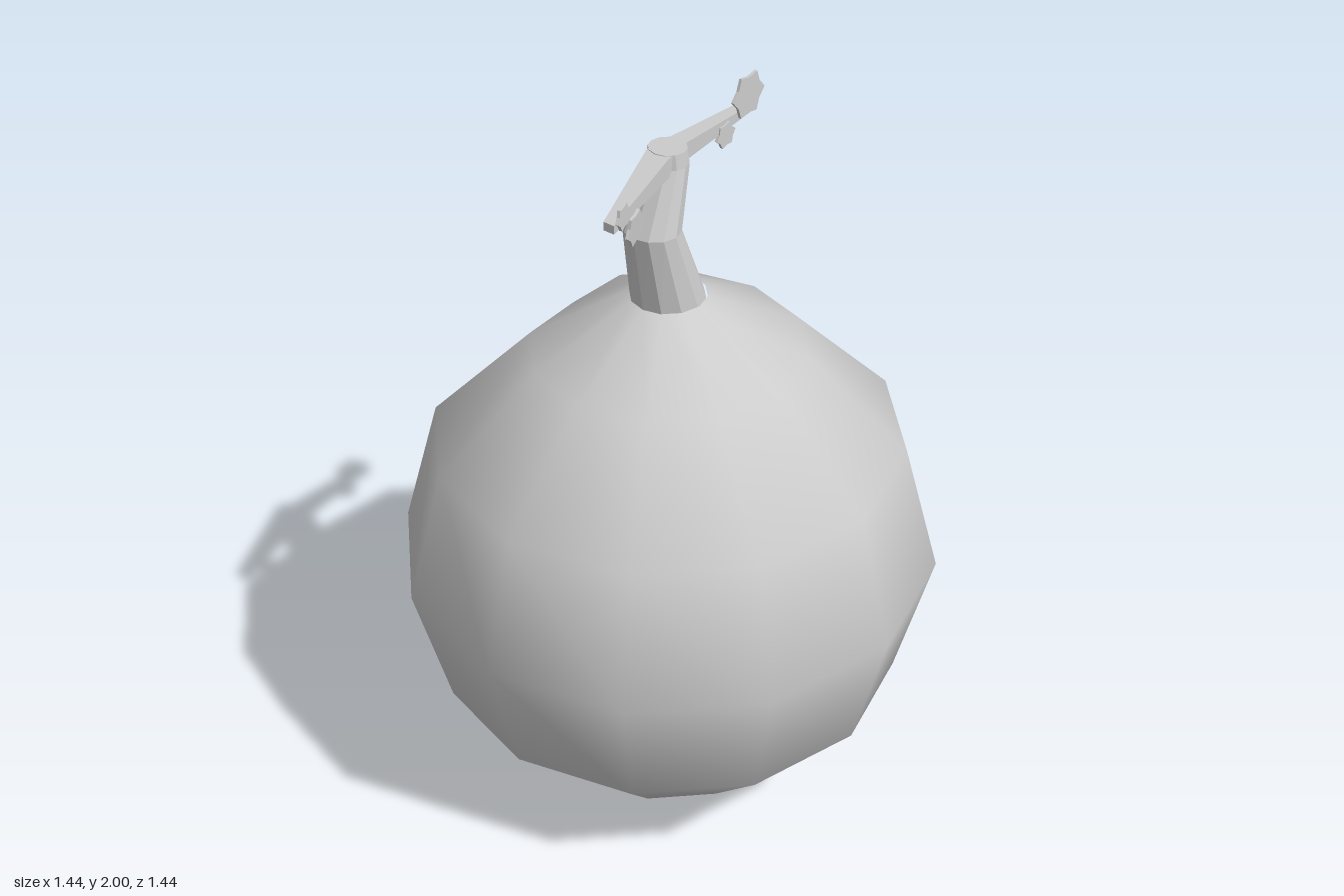
import * as THREE from 'three';
import { mergeVertices } from 'three/addons/utils/BufferGeometryUtils.js';

const grey = new THREE.MeshStandardMaterial({ color: 0xcccccc });
const flat = new THREE.MeshStandardMaterial({ color: 0xcccccc, flatShading: true, side: THREE.DoubleSide });

function addMesh(parent, name, geometry, material) {
  const mesh = new THREE.Mesh(geometry, material);
  mesh.name = name;
  parent.add(mesh);
  return mesh;
}

// Skin a row of equal-sized rings of [x, y, z] points and close both ends
function loft(rings) {
  const n = rings[0].length;
  const index = [];
  for (let r = 0; r < rings.length - 1; r++) {
    for (let i = 0; i < n; i++) {
      const a = r * n + i, b = r * n + (i + 1) % n;
      index.push(a, b, b + n, a, b + n, a + n);
    }
  }
  const last = (rings.length - 1) * n;
  for (let i = 1; i < n - 1; i++) {
    index.push(0, i + 1, i, last, last + i, last + i + 1);
  }
  const geometry = new THREE.BufferGeometry();
  geometry.setAttribute('position', new THREE.Float32BufferAttribute(rings.flat(2), 3));
  geometry.setIndex(index);
  const out = geometry.toNonIndexed();
  out.computeVertexNormals();
  return out;
}

// Twelve-sided ball drawn up into the stem, with a few rear points pushed down
function bodyGeometry() {
  const R = 0.72, profile = [];
  for (let i = 0; i < 6; i++) {
    const a = i * Math.PI / 6;
    profile.push(new THREE.Vector2(R * Math.sin(a), R - R * Math.cos(a)));
  }
  profile.push(new THREE.Vector2(0.1, 1.5));
  let geometry = new THREE.LatheGeometry(profile, 12);
  geometry.deleteAttribute('uv');
  geometry.deleteAttribute('normal');
  const p = geometry.attributes.position;
  for (let i = 0; i < p.count; i++) {
    const y = p.getY(i);
    if (Math.abs(p.getX(i)) < 0.01 && p.getZ(i) < -0.2 && y > 0.6) {
      if (y > 1.3) p.setZ(i, -0.32);
      else p.setY(i, y - 0.06);
    }
  }
  geometry = mergeVertices(geometry, 1e-4);
  geometry.computeVertexNormals();
  return geometry;
}

// Bent, tapering stem
function stemGeometry() {
  const sections = [
    // y, centre x, radius x, radius z
    [1.495, -0.003, 0.098, 0.098],
    [1.72, -0.065, 0.07, 0.077],
    [1.88, -0.003, 0.05, 0.056],
    [1.92, -0.003, 0.048, 0.05],
  ];
  return loft(sections.map(([y, cx, rx, rz]) => Array.from({ length: 12 }, (_, i) => {
    const a = i * Math.PI / 6;
    return [cx + rx * Math.sin(a), y, rz * Math.cos(a)];
  })));
}

// Rectangular arm tapering outwards; each section is [x, low y, high y, back z, front z]
function armGeometry(sections) {
  return loft(sections.map(([x, y0, y1, z0, z1]) => {
    const ring = [[x, y0, z0], [x, y1, z0], [x, y1, z1], [x, y0, z1]];
    return sections[1][0] > 0 ? ring : ring.reverse();
  }));
}

// Thin six-pointed blossom
function blossomGeometry(radius) {
  const points = [];
  for (let i = 0; i < 12; i++) {
    const r = i % 2 ? radius * 0.77 : radius;
    const a = i * Math.PI / 6;
    points.push(new THREE.Vector2(r * Math.cos(a), r * Math.sin(a)));
  }
  const geometry = new THREE.ExtrudeGeometry(new THREE.Shape(points), { depth: 0.008, bevelEnabled: false });
  return geometry.translate(0, 0, -0.004);
}

export function createModel() {
  const model = new THREE.Group();
  model.name = 'stemmedFruit';

  const core = new THREE.Group();
  core.name = 'fruit';
  core.position.z = -0.005;
  model.add(core);
  addMesh(core, 'body', bodyGeometry(), grey);
  addMesh(core, 'stem', stemGeometry(), flat);

  addMesh(model, 'leftArm', armGeometry([
    [0, 1.87, 1.92, -0.04, 0.02],
    [0.045, 1.87, 1.918, -0.033, 0.017],
    [0.335, 1.887, 1.905, -0.022, 0.005],
  ]), flat);
  addMesh(model, 'rightArm', armGeometry([
    [0, 1.865, 1.92, -0.05, 0.03],
    [-0.05, 1.865, 1.918, -0.035, 0.035],
    [-0.32, 1.855, 1.878, 0.058, 0.09],
  ]), flat);

  // x, y, z, radius, turn about y, tilt about x
  const blossoms = [
    [0.29, 1.947, 0.014, 0.063, 0, 0],
    [0.202, 1.87, 0.012, 0.036, -0.03, 0],
    [-0.235, 1.832, 0.083, 0.047, 0.25, 0.05],
    [-0.295, 1.895, 0.097, 0.035, 0.25, 0],
  ];
  blossoms.forEach(([x, y, z, r, turn, tilt], i) => {
    const blossom = addMesh(model, `blossom${i + 1}`, blossomGeometry(r), flat);
    blossom.position.set(x, y, z);
    blossom.rotation.set(tilt, turn, i ? 0.15 : 0);
  });
  return model;
}
